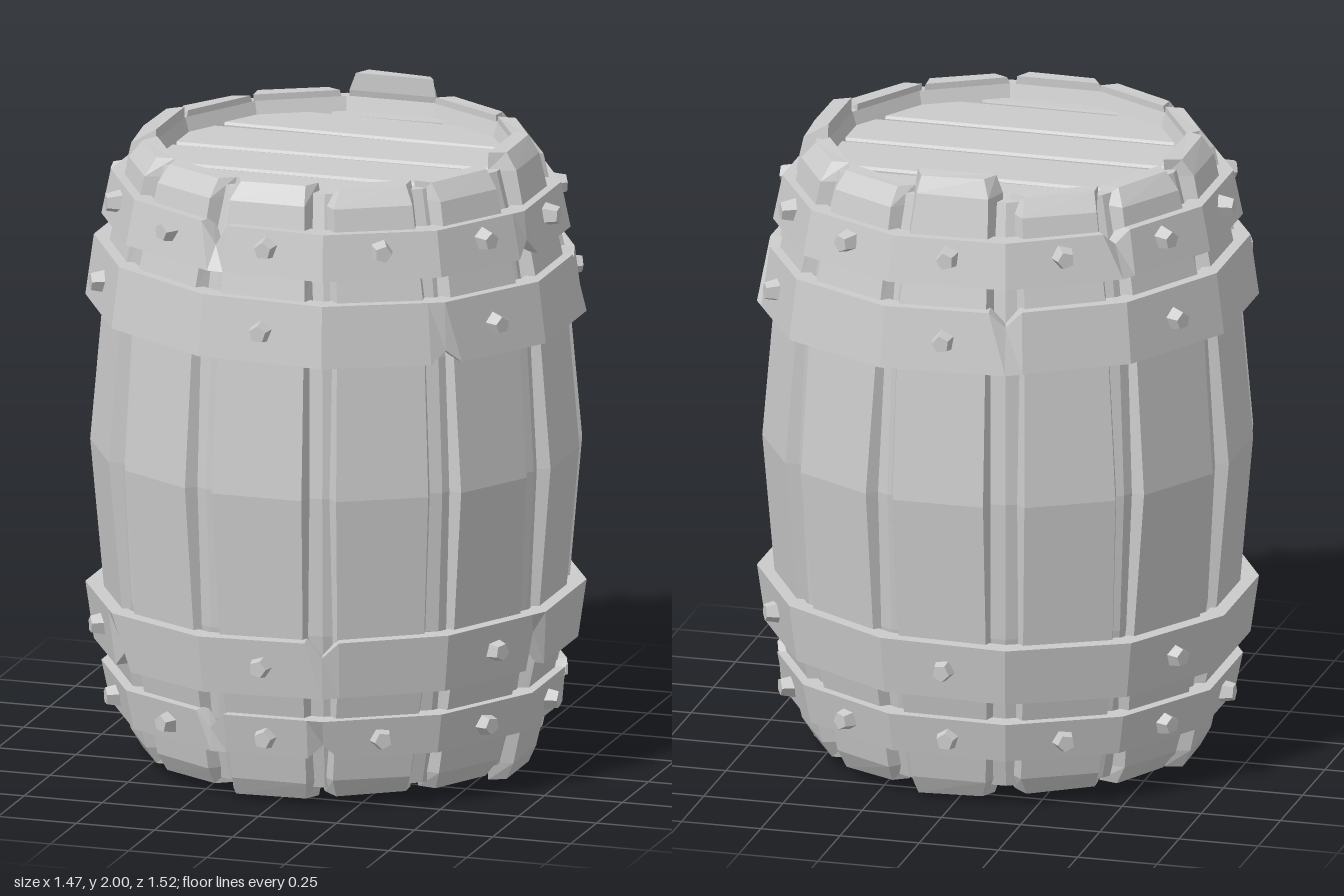
import * as THREE from 'three';

const DEG = Math.PI / 180;
const HALF = 15 * DEG; // half of one twelfth of the barrel
const material = new THREE.MeshStandardMaterial({ color: 0xcccccc, flatShading: true });

let seed = 7;
const rand = () => {
  seed = (seed * 16807) % 2147483647;
  return (seed / 2147483647) * 2 - 1;
};

function addMesh(parent, name, geometry) {
  const flat = geometry.index ? geometry.toNonIndexed() : geometry;
  flat.computeVertexNormals();
  const mesh = new THREE.Mesh(flat, material);
  mesh.name = name;
  parent.add(mesh);
  return mesh;
}

// Skin over a row of four-cornered cross-sections
function loft(sections, capped) {
  const index = [];
  for (let i = 0; i < sections.length - 1; i++) {
    for (let j = 0; j < 4; j++) {
      const a = i * 4 + j, b = i * 4 + (j + 1) % 4;
      index.push(a, b, b + 4, a, b + 4, a + 4);
    }
  }
  if (capped) {
    const t = (sections.length - 1) * 4;
    index.push(t, t + 1, t + 2, t, t + 2, t + 3, 0, 2, 1, 0, 3, 2);
  }
  const geo = new THREE.BufferGeometry();
  geo.setAttribute('position', new THREE.Float32BufferAttribute(sections.flat(2), 3));
  geo.setIndex(index);
  return geo;
}

// Bulging outline of the staves
const bulge = (y) => 0.735 - 0.13 * ((y - 1) / 0.95) ** 2;

// One raised stave with chamfered ends, facing +z
function staveGeometry(bottom, top) {
  const levels = [bottom, bottom + 0.055, 0.4, 1, 1.6, top - 0.055, top];
  const shift = rand() * 0.012;
  return loft(levels.map((y, i) => {
    const end = i === 0 || i === 6;
    const rim = end || i === 1 || i === 5;
    const r = end ? 0.58 : bulge(y);
    const inner = rim ? 0.53 : r - 0.08;
    const w = (end ? 0.105 : rim ? 0.115 : i === 3 ? 0.14 : 0.132) + rand() * 0.008;
    const c = shift + rand() * 0.008;
    const lift = end ? rand() * 0.012 : 0;
    return [[c - w, y - Math.abs(lift) * 0.5, r], [c + w, y, r],
      [c + w + 0.025, y, inner], [c - w - 0.025, y, inner]];
  }), true);
}

// Twelve-sided hoop; nicks are [angle, 1 for the top edge or -1 for the bottom, depth]
function hoopGeometry({ y0, y1, r0, r1, tilt, nicks }) {
  const stations = [];
  for (let k = 0; k < 12; k++) stations.push({ a: k * 30 + 15 });
  for (const [a, edge, depth] of nicks) {
    const near = stations.findIndex((s) => Math.abs(s.a - a) < 1);
    if (near >= 0) stations.splice(near, 1);
    stations.push({ a: a - 4 }, { a, edge, depth }, { a: a + 4 });
  }
  stations.sort((p, q) => p.a - q.a);
  const sections = stations.map(({ a, edge = 0, depth = 0 }) => {
    const t = a * DEG;
    const local = ((a + 15) % 30 - 15) * DEG;
    const k = 1 / Math.cos(local); // keeps nicked points on the flat sides
    const low = edge < 0 ? depth : 0, high = edge > 0 ? depth : 0;
    const at = (r, y) => {
      const x = r * k * Math.sin(t);
      return [x, y + tilt * x, r * k * Math.cos(t)];
    };
    return [at(r0 - (low ? 0.02 : 0), y0 + low), at(r0 - 0.06, y0 + low),
      at(r1 - 0.06, y1 - high), at(r1 - (high ? 0.02 : 0), y1 - high)];
  });
  sections.push(sections[0]);
  return loft(sections, false);
}

// Lid board: a strip cut from a disc
function boardGeometry(z0, z1) {
  const R = 0.545, n = 4, right = [], left = [];
  for (let i = 0; i <= n; i++) {
    const z = z0 + (z1 - z0) * i / n;
    const x = Math.sqrt(R * R - z * z);
    right.push(new THREE.Vector2(x, z));
    left.unshift(new THREE.Vector2(-x, z));
  }
  const geo = new THREE.ExtrudeGeometry(new THREE.Shape([...right, ...left]), {
    depth: 0.04, bevelThickness: 0.008, bevelSize: 0.008, bevelOffset: -0.008, bevelSegments: 1,
  });
  return geo.rotateX(Math.PI / 2);
}

export function createModel() {
  const barrel = new THREE.Group();
  barrel.name = 'barrel';

  // Inner body seen in the gaps between staves, with recessed ends
  const half = [[0.695, 1], [0.67, 1.42], [0.62, 1.72], [0.565, 1.925], [0.53, 1.925], [0.505, 1.84], [0, 1.84]];
  const profile = [...half.slice(1).reverse().map(([r, y]) => [r, 1.98 - y]), ...half]
    .map(([r, y]) => new THREE.Vector2(r / Math.cos(HALF), y));
  addMesh(barrel, 'innerBody', new THREE.LatheGeometry(profile, 12, HALF));

  // Staves, a few of them longer
  const staves = new THREE.Group();
  staves.name = 'staves';
  const tops = { 0: 1.95, 3: 1.975, 6: 2, 9: 1.96 };
  const bottoms = { 0: 0.02, 3: 0, 6: 0.02, 9: 0.01 };
  for (let k = 0; k < 12; k++) {
    const stave = addMesh(staves, 'stave', staveGeometry(bottoms[k] ?? 0.035, tops[k] ?? 1.945));
    stave.rotation.y = k * 30 * DEG;
  }
  barrel.add(staves);

  // Lid and base boards
  const cuts = [-0.53, -0.48, -0.25, 0, 0.23, 0.46, 0.53];
  for (const [name, y] of [['lid', 1.875], ['base', 0.15]]) {
    const boards = new THREE.Group();
    boards.name = name;
    for (let i = 0; i < cuts.length - 1; i++) {
      const board = addMesh(boards, 'board', boardGeometry(cuts[i] + 0.012, cuts[i + 1] - 0.012));
      board.position.y = y;
      board.rotation.z = rand() * 0.006;
    }
    barrel.add(boards);
  }

  // Hoops with their rivets
  const hoops = [
    { name: 'upperNarrowHoop', y0: 1.685, y1: 1.825, r0: 0.69, r1: 0.662, tilt: -0.015, rivetY: 1.77, step: 30,
      nicks: [[75, -1, 0.05], [345, 1, 0.07], [225, 1, 0.04]] },
    { name: 'upperWideHoop', y0: 1.425, y1: 1.615, r0: 0.737, r1: 0.712, tilt: -0.02, rivetY: 1.52, step: 60,
      nicks: [[45, -1, 0.04], [105, 1, 0.11], [195, 1, 0.05]] },
    { name: 'lowerWideHoop', y0: 0.37, y1: 0.55, r0: 0.712, r1: 0.737, tilt: 0.02, rivetY: 0.465, step: 60,
      nicks: [[15, 1, 0.05], [75, -1, 0.11], [315, -1, 0.05]] },
    { name: 'lowerNarrowHoop', y0: 0.17, y1: 0.295, r0: 0.665, r1: 0.69, tilt: 0.01, rivetY: 0.23, step: 30,
      nicks: [[15, -1, 0.04], [105, 1, 0.06], [345, 1, 0.05]] },
  ];
  for (const hoop of hoops) {
    const group = new THREE.Group();
    group.name = hoop.name;
    addMesh(group, 'band', hoopGeometry(hoop));
    const r = (hoop.r0 + hoop.r1) / 2;
    for (let a = 0; a < 360; a += hoop.step) {
      const geo = new THREE.CylinderGeometry(0.027, 0.04, 0.06, 5);
      geo.rotateY(rand() * Math.PI).rotateX(Math.PI / 2);
      const rivet = addMesh(group, 'rivet', geo);
      const x = Math.sin(a * DEG) * (r + 0.008);
      rivet.position.set(x, hoop.rivetY + hoop.tilt * x, Math.cos(a * DEG) * (r + 0.008));
      rivet.rotation.y = a * DEG;
    }
    barrel.add(group);
  }

  return barrel;
}
